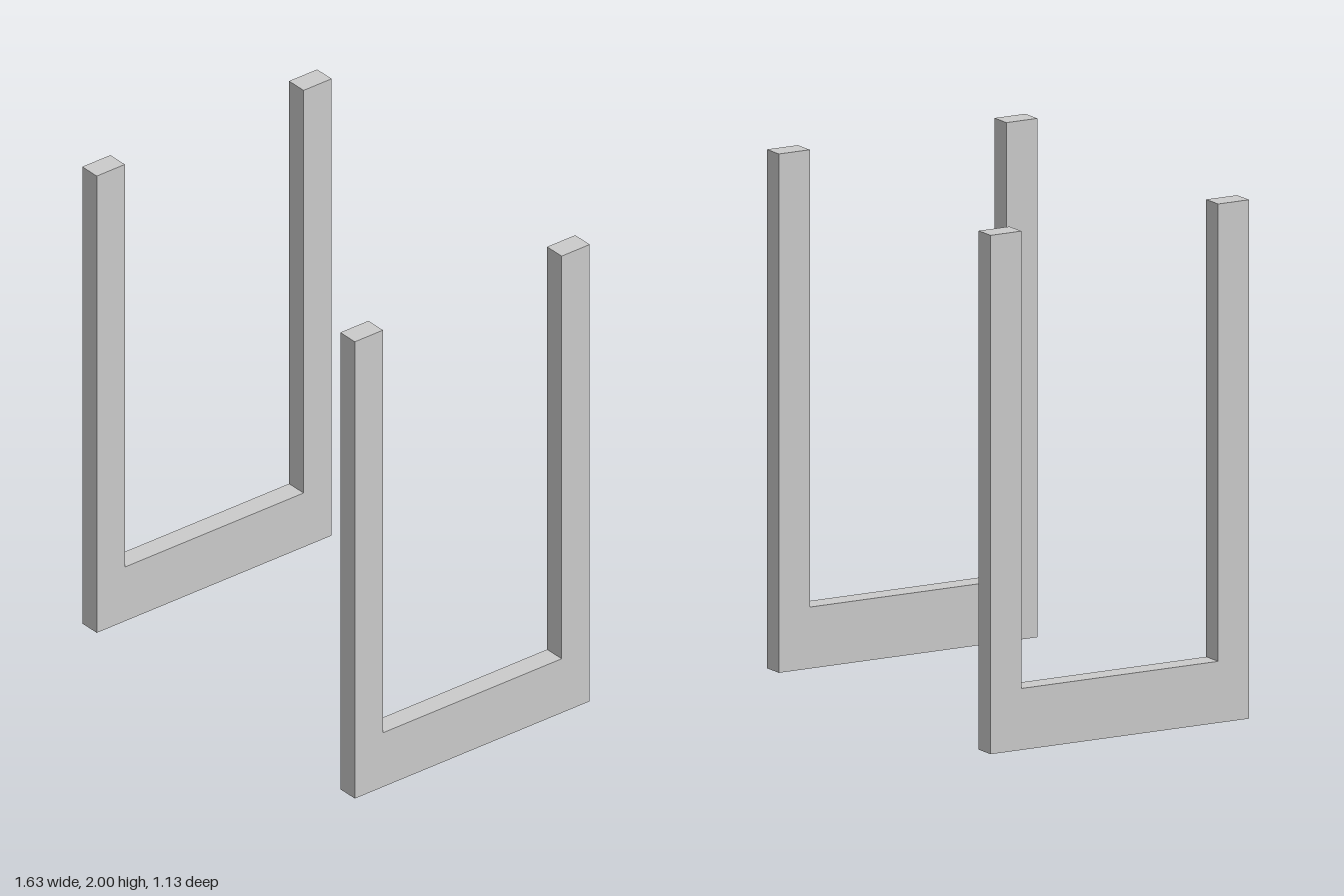
import * as THREE from 'three';

const HEIGHT = 2;
const HALF_DEPTH = 0.565; // outer edge of the uprights
const INNER = 0.43; // inner edge of the uprights
const BASE = 0.237; // height of the bottom rail
const THICKNESS = 0.087;
const CENTRE_X = 0.773;

export function createModel() {
  const group = new THREE.Group();
  group.name = 'uprightFrames';
  const material = new THREE.MeshStandardMaterial({ color: 0xcccccc, flatShading: true });

  // U-shaped side profile: two uprights joined by a bottom rail
  const profile = new THREE.Shape([
    [-HALF_DEPTH, 0], [HALF_DEPTH, 0], [HALF_DEPTH, HEIGHT], [INNER, HEIGHT],
    [INNER, BASE], [-INNER, BASE], [-INNER, HEIGHT], [-HALF_DEPTH, HEIGHT],
  ].map(([z, y]) => new THREE.Vector2(z, y)));

  const geometry = new THREE.ExtrudeGeometry(profile, { depth: THICKNESS, bevelEnabled: false });
  geometry.translate(0, 0, -THICKNESS / 2).rotateY(Math.PI / 2);

  // One frame on each side
  for (const [name, side] of [['leftFrame', 1], ['rightFrame', -1]]) {
    const frame = new THREE.Mesh(geometry, material);
    frame.name = name;
    frame.position.x = side * CENTRE_X;
    group.add(frame);
  }
  return group;
}
